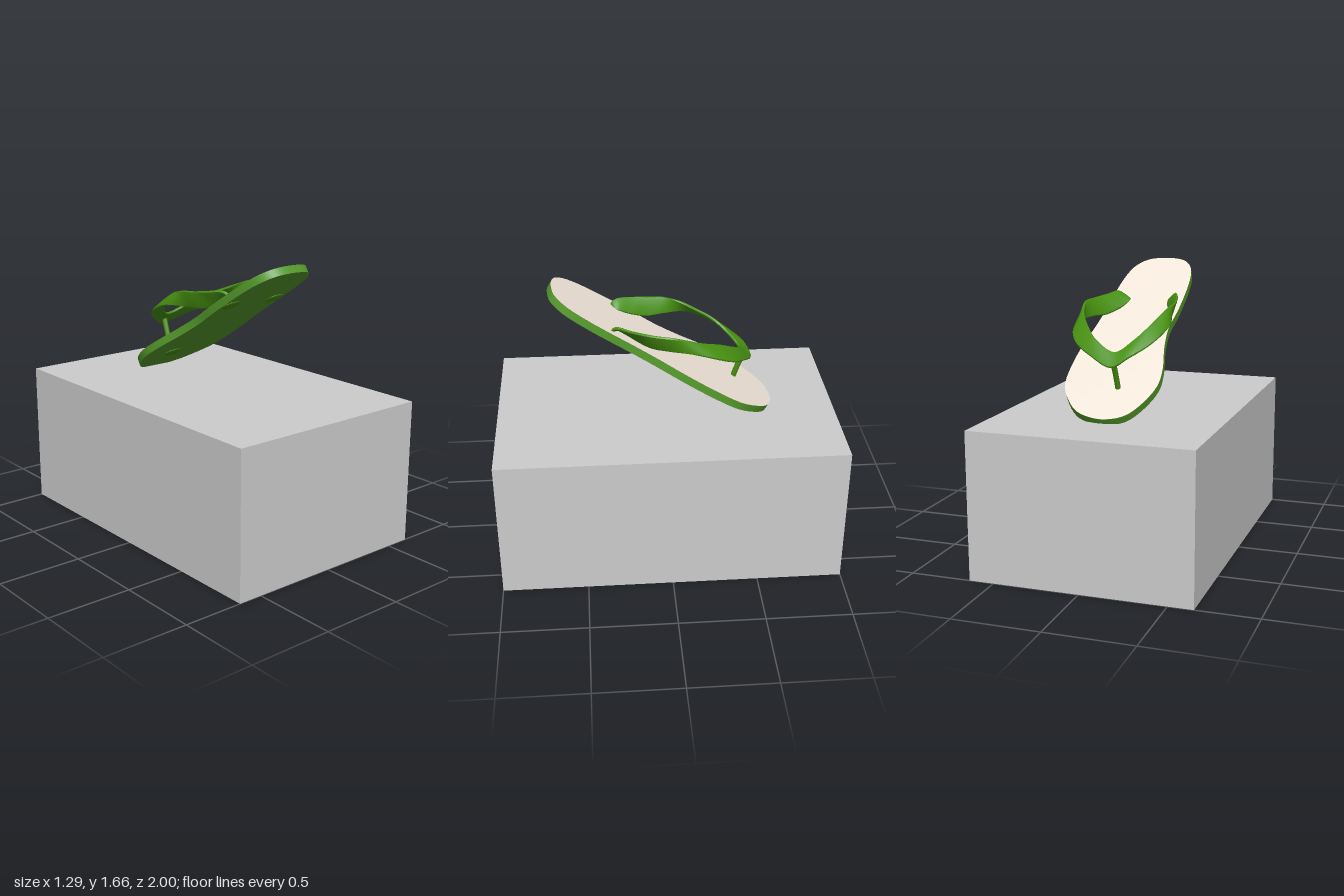
import * as THREE from 'three';
import { toCreasedNormals } from 'three/addons/utils/BufferGeometryUtils.js';

const V3 = (p) => new THREE.Vector3(...p);
const paint = (color) => new THREE.MeshStandardMaterial({ color });
const TILT = Math.atan(0.61); // slope of the sole, toe down
const THICK = 0.045;

function part(name, geometry, material) {
  const mesh = new THREE.Mesh(geometry, material);
  mesh.name = name;
  return mesh;
}

// Sole outline seen from above (x, z), toe at -z
const OUTLINE = [
  [-0.02, -0.63], [0.06, -0.625], [0.16, -0.59], [0.25, -0.5], [0.3, -0.41], [0.312, -0.25],
  [0.3, -0.1], [0.275, 0.05], [0.258, 0.2], [0.25, 0.33], [0.235, 0.45], [0.2, 0.56],
  [0.13, 0.625], [0.05, 0.643], [-0.05, 0.643], [-0.12, 0.62], [-0.17, 0.56], [-0.195, 0.45],
  [-0.195, 0.2], [-0.18, 0.05], [-0.2, -0.1], [-0.238, -0.25], [-0.246, -0.38], [-0.19, -0.52], [-0.12, -0.6],
];

// Strap edges, from the right heel anchor over the toe to the left one
const UPPER = [
  [-0.14, 1.41, 0.33], [-0.155, 1.478, 0.29], [-0.2, 1.472, 0.16], [-0.215, 1.462, 0.08], [-0.225, 1.455, 0],
  [-0.205, 1.43, -0.1], [-0.18, 1.388, -0.19], [-0.15, 1.345, -0.28], [-0.1, 1.285, -0.36],
  [-0.015, 1.225, -0.43],
  [0.12, 1.285, -0.38], [0.2, 1.345, -0.29], [0.26, 1.388, -0.19], [0.3, 1.43, -0.1],
  [0.318, 1.455, -0.02], [0.3, 1.462, 0.08], [0.262, 1.472, 0.2], [0.22, 1.478, 0.3], [0.2, 1.41, 0.33],
];
const LOWER = [
  [-0.13, 1.385, 0.28], [-0.108, 1.43, 0.28], [-0.13, 1.395, 0.2], [-0.17, 1.358, 0.1], [-0.2, 1.357, 0],
  [-0.246, 1.347, -0.14], [-0.23, 1.3, -0.28], [-0.18, 1.25, -0.38], [-0.1, 1.2, -0.475],
  [-0.015, 1.15, -0.508],
  [0.13, 1.2, -0.45], [0.24, 1.25, -0.375], [0.298, 1.3, -0.28], [0.312, 1.347, -0.13],
  [0.28, 1.357, 0], [0.23, 1.358, 0.1], [0.15, 1.405, 0.23], [0.135, 1.43, 0.28], [0.17, 1.385, 0.28],
];

// Band with a flat rounded section spanning two edge curves
function bandGeometry(upper, lower, half, steps = 108, sides = 12) {
  const a = new THREE.CatmullRomCurve3(upper.map(V3));
  const b = new THREE.CatmullRomCurve3(lower.map(V3));
  const mid = (t) => a.getPoint(t).add(b.getPoint(t)).multiplyScalar(0.5);
  const soft = (v) => Math.sign(v) * Math.sqrt(Math.abs(v));
  const pos = [], index = [];
  for (let i = 0; i <= steps; i++) {
    const t = i / steps, c = mid(t);
    const along = mid(Math.min(1, t + 0.005)).sub(mid(Math.max(0, t - 0.005)));
    const w = a.getPoint(t).sub(c);
    const n = along.cross(w).normalize().multiplyScalar(half);
    for (let j = 0; j < sides; j++) {
      const f = (j / sides) * Math.PI * 2;
      pos.push(...c.clone().addScaledVector(w, soft(Math.cos(f))).addScaledVector(n, soft(Math.sin(f))));
      if (i === steps) continue;
      const k = (j + 1) % sides, p = i * sides, q = p + sides;
      index.push(p + j, p + k, q + k, p + j, q + k, q + j);
    }
  }
  // End caps
  for (let j = 1; j < sides - 1; j++) {
    const e = steps * sides;
    index.push(0, j + 1, j, e, e + j, e + j + 1);
  }
  const g = new THREE.BufferGeometry();
  g.setAttribute('position', new THREE.Float32BufferAttribute(pos, 3));
  g.setIndex(index);
  return toCreasedNormals(g, 0.7);
}

export function createModel() {
  const model = new THREE.Group();
  model.name = 'sandalOnBlock';
  const strapGreen = paint(0x479010);
  const soleGreen = paint(0x559a2c);

  // Block
  const block = part('block', new THREE.BoxGeometry(1.29, 0.855, 2), paint(0xcccccc));
  block.position.y = 0.4275;
  model.add(block);

  // Sole: local y points to the toe, local z out of the footbed
  const sole = new THREE.Group();
  sole.name = 'sole';
  sole.position.y = 1.268;
  sole.rotation.x = -(Math.PI / 2 + TILT);
  const toLocal = (z) => -z / Math.cos(TILT);
  const curve = new THREE.CatmullRomCurve3(OUTLINE.map(([x, z]) => new THREE.Vector3(x, toLocal(z), 0)), true);
  const shape = new THREE.Shape(curve.getPoints(75).slice(0, -1).map((p) => new THREE.Vector2(p.x, p.y)));
  const slab = new THREE.ExtrudeGeometry(shape, { depth: THICK, bevelEnabled: false });
  slab.translate(0, 0, -THICK);
  sole.add(part('soleSlab', toCreasedNormals(slab, 0.6), soleGreen));
  const footbed = part('footbed', new THREE.ShapeGeometry(shape), paint(0xf0e5d8));
  footbed.position.z = 0.0015;
  sole.add(footbed);

  // Strap anchors under the sole
  for (const [name, x, z] of [['toePlug', -0.03, -0.395], ['rightPlug', -0.14, 0.295], ['leftPlug', 0.19, 0.295]]) {
    const plug = part(name, new THREE.SphereGeometry(1, 20, 12), strapGreen);
    plug.scale.set(0.058, 0.054, 0.013);
    plug.position.set(x, toLocal(z), -THICK);
    sole.add(plug);
  }
  model.add(sole);

  // Strap and toe post
  model.add(part('strap', bandGeometry(UPPER, LOWER, 0.01), strapGreen));
  const postPath = new THREE.CatmullRomCurve3([[-0.025, 0.97, -0.395], [-0.02, 1.08, -0.43], [-0.015, 1.185, -0.472]].map(V3));
  model.add(part('toePost', new THREE.TubeGeometry(postPath, 10, 0.016, 10), strapGreen));
  return model;
}
